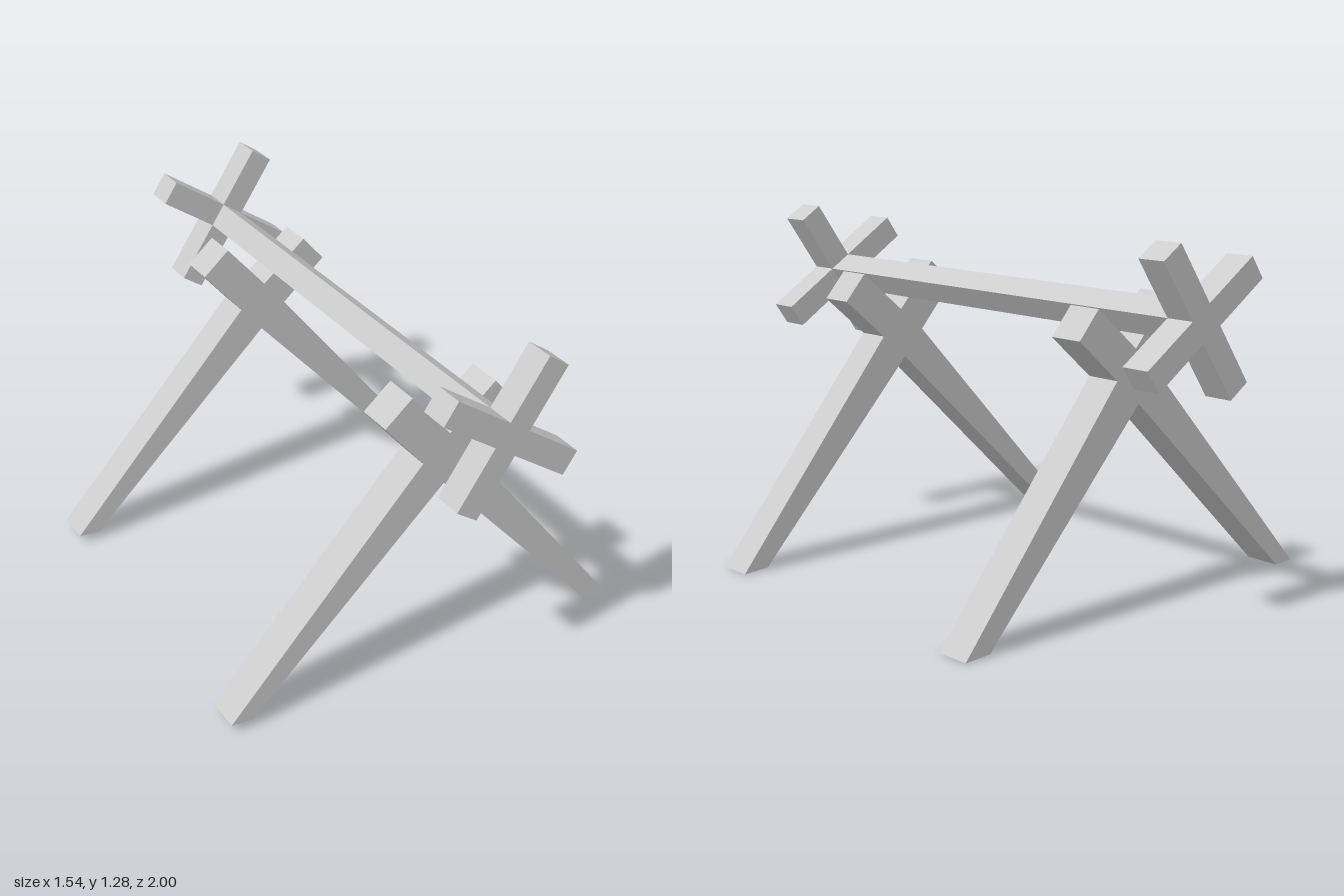
import * as THREE from 'three';

const material = new THREE.MeshStandardMaterial({ color: 0xcccccc, flatShading: true });

// Centre of the turning axle, seen from the front
const AXLE = { x: 0.075, y: 1.022, tilt: THREE.MathUtils.degToRad(55.8), width: 0.09 };
const LEG_DEPTH = 0.13;
const HANDLE_DEPTH = 0.107;

// Leg outlines: tapered below the crossing, straight above it
const legOutlines = {
  leftLeg: [[0.672, 0.007], [0.77, 0], [0.13, 0.803], [-0.102, 1.073], [-0.2, 0.988], [0.03, 0.717]],
  rightLeg: [[-0.77, 0.035], [-0.69, 0.031], [0.03, 0.717], [0.298, 0.95], [0.216, 1.046], [-0.057, 0.812]],
};

function makeLeg(name, points) {
  const shape = new THREE.Shape(points.map(([x, y]) => new THREE.Vector2(x, y)));
  const geometry = new THREE.ExtrudeGeometry(shape, { depth: LEG_DEPTH, bevelEnabled: false });
  geometry.translate(0, 0, -LEG_DEPTH / 2);
  const leg = new THREE.Mesh(geometry, material);
  leg.name = name;
  return leg;
}

// Square-sided beam lying on the axle centre, turned with it
function makeBeam(name, length, depth, angle) {
  const beam = new THREE.Mesh(new THREE.BoxGeometry(length, AXLE.width, depth), material);
  beam.name = name;
  beam.rotation.z = angle;
  return beam;
}

export function createModel() {
  const model = new THREE.Group();
  model.name = 'windlass';

  // Two trestles of crossed legs
  for (const [name, z] of [['frontTrestle', 0.644], ['backTrestle', -0.604]]) {
    const trestle = new THREE.Group();
    trestle.name = name;
    trestle.position.z = z;
    for (const [legName, points] of Object.entries(legOutlines)) trestle.add(makeLeg(legName, points));
    model.add(trestle);
  }

  // Axle resting in the crooks of the trestles
  const axle = makeBeam('axle', AXLE.width, 2 - 2 * HANDLE_DEPTH, AXLE.tilt);
  axle.position.set(AXLE.x, AXLE.y, 0);
  model.add(axle);

  // Cross-shaped handles on both ends
  for (const [name, side] of [['frontHandle', 1], ['backHandle', -1]]) {
    const handle = new THREE.Group();
    handle.name = name;
    handle.position.set(AXLE.x, AXLE.y, side * (1 - HANDLE_DEPTH / 2));
    handle.add(
      makeBeam('steepBar', 0.56, HANDLE_DEPTH, AXLE.tilt),
      makeBeam('shallowBar', 0.56, HANDLE_DEPTH, AXLE.tilt - Math.PI / 2),
    );
    model.add(handle);
  }

  return model;
}
